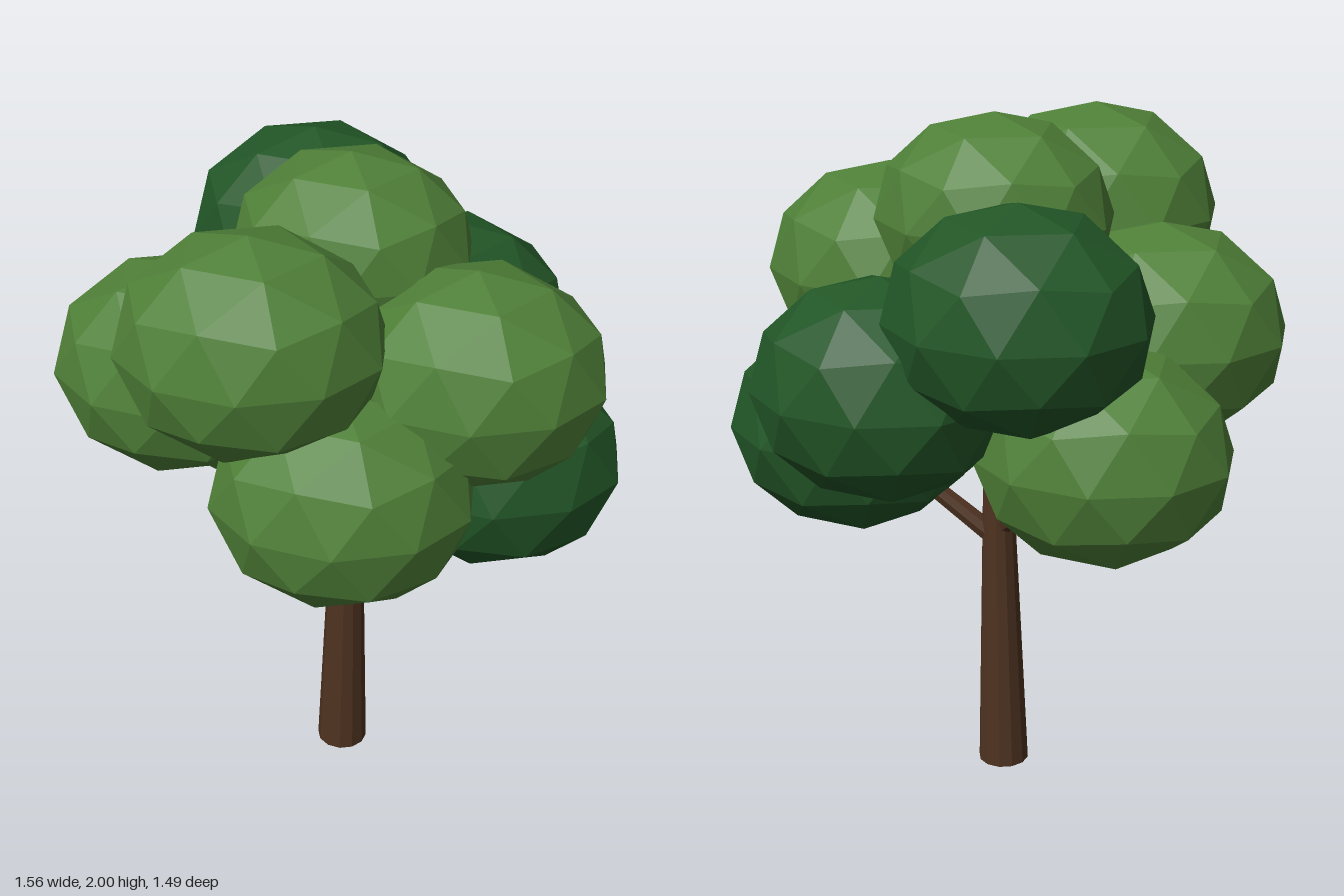
import * as THREE from 'three';

export function createModel() {
  const tree = new THREE.Group();
  tree.name = 'tree';

  const mat = (name, color) => {
    const m = new THREE.MeshStandardMaterial({ color, flatShading: true });
    m.name = name;
    return m;
  };
  const bark = mat('bark', 0x4e3220);
  const lightLeaf = mat('light leaf', 0x4f8038);
  const darkLeaf = mat('dark leaf', 0x225627);

  // tapered limb between two points
  const limb = (name, a, b, r0, r1, sides) => {
    const from = new THREE.Vector3(...a);
    const to = new THREE.Vector3(...b);
    const dir = to.clone().sub(from);
    const mesh = new THREE.Mesh(new THREE.CylinderGeometry(r1, r0, dir.length(), sides), bark);
    mesh.position.copy(from).add(to).multiplyScalar(0.5);
    mesh.quaternion.setFromUnitVectors(new THREE.Vector3(0, 1, 0), dir.normalize());
    mesh.name = name;
    tree.add(mesh);
  };

  // trunk, leaning slightly
  limb('trunk', [-0.005, 0.003, 0], [0.018, 1.3, 0], 0.075, 0.032, 12);

  // branches reaching into the lower foliage
  limb('rightBranch', [0.01, 0.73, 0], [0.38, 1.02, 0], 0.032, 0.022, 8);
  limb('backBranch', [0.01, 0.77, 0], [-0.29, 1.08, -0.25], 0.032, 0.022, 8);
  limb('frontBranch', [0.01, 0.86, 0], [0.03, 1.15, 0.36], 0.03, 0.022, 8);
  limb('leftBranch', [0.01, 0.95, 0], [-0.36, 1.3, 0.05], 0.028, 0.02, 8);
  limb('upperBackBranch', [0.015, 1.02, 0], [0.22, 1.25, -0.3], 0.028, 0.02, 8);

  // faceted foliage ball with a corner pointing straight up
  const ball = new THREE.IcosahedronGeometry(1, 1);
  ball.rotateZ(-Math.atan(2 / (1 + Math.sqrt(5))));

  const foliage = [
    // name, x, y, z, size, material
    ['topFoliage', 0.02, 1.71, -0.007, 0.93, lightLeaf],
    ['frontTopFoliage', -0.205, 1.637, 0.393, 1, lightLeaf],
    ['frontLowFoliage', 0.033, 1.22, 0.44, 1, lightLeaf],
    ['rightFoliage', 0.367, 1.48, 0.233, 1, lightLeaf],
    ['leftFoliage', -0.438, 1.382, 0.07, 1, lightLeaf],
    ['backLowFoliage', -0.33, 1.143, -0.3, 1, lightLeaf],
    ['rightLowFoliage', 0.435, 1.066, 0, 1, darkLeaf],
    ['backRightFoliage', 0.262, 1.32, -0.362, 1, darkLeaf],
    ['backTopFoliage', -0.12, 1.558, -0.438, 1, darkLeaf],
  ];
  for (const [name, x, y, z, s, material] of foliage) {
    const mesh = new THREE.Mesh(ball, material);
    mesh.name = name;
    mesh.position.set(x, y, z);
    mesh.scale.set(0.362 * s, 0.311 * s, 0.306 * s);
    tree.add(mesh);
  }

  return tree;
}
